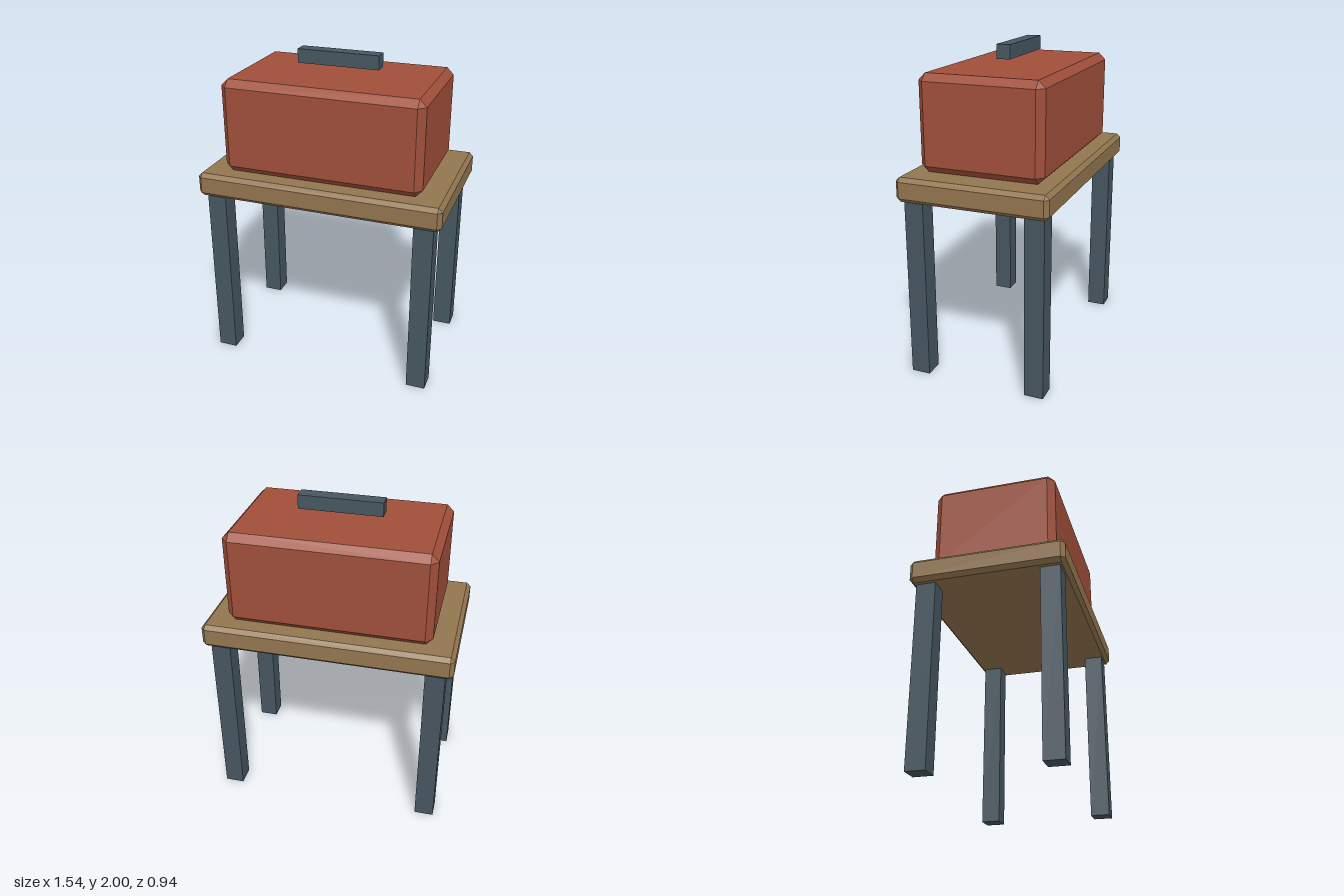
import * as THREE from 'three';
import { ConvexGeometry } from 'three/addons/geometries/ConvexGeometry.js';

const material = (color) => new THREE.MeshStandardMaterial({ color, flatShading: true });

// Box with every edge and corner cut flat by the bevel b
function chamferedBox(w, h, d, b) {
  const points = [];
  const [x, y, z] = [w / 2, h / 2, d / 2];
  for (const sx of [-1, 1]) for (const sy of [-1, 1]) for (const sz of [-1, 1]) {
    points.push(
      new THREE.Vector3(sx * x, sy * (y - b), sz * (z - b)),
      new THREE.Vector3(sx * (x - b), sy * y, sz * (z - b)),
      new THREE.Vector3(sx * (x - b), sy * (y - b), sz * z)
    );
  }
  return new ConvexGeometry(points);
}

export function createModel() {
  const model = new THREE.Group();
  model.name = 'chestOnTable';
  const metal = material(0x465660);
  const wood = material(0x92754f);
  const red = material(0xa04f3a);

  const add = (name, geometry, mat, x, y, z) => {
    const mesh = new THREE.Mesh(geometry, mat);
    mesh.name = name;
    mesh.position.set(x, y, z);
    model.add(mesh);
  };

  // Four square legs
  const leg = new THREE.BoxGeometry(0.12, 1.13, 0.12);
  for (const [side, sx] of [['Left', 1], ['Right', -1]]) {
    for (const [end, sz] of [['front', 1], ['back', -1]]) {
      add(`${end}${side}Leg`, leg, metal, sx * 0.662, 0.565, sz * 0.377);
    }
  }

  // Table top
  add('tableTop', chamferedBox(1.54, 0.15, 0.944, 0.025), wood, 0, 1.205, 0);

  // Chest body standing on the table
  add('chestBody', chamferedBox(1.252, 0.584, 0.772, 0.043), red, 0, 1.572, 0);

  // Handle bar hovering above the lid
  add('handleBar', new THREE.BoxGeometry(0.514, 0.086, 0.086), metal, 0, 1.957, 0);

  return model;
}
